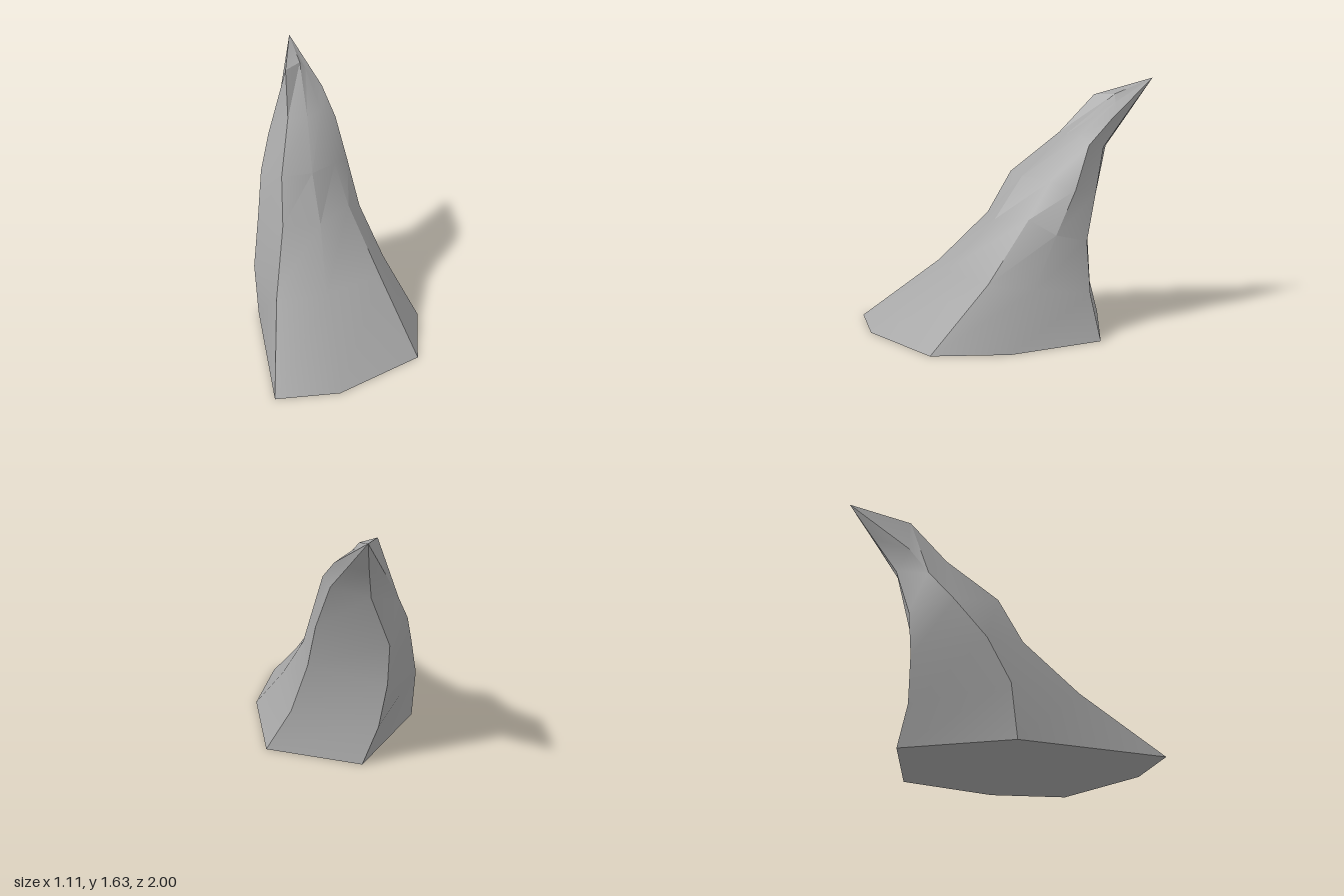
import * as THREE from 'three';
import { toCreasedNormals } from 'three/addons/utils/BufferGeometryUtils.js';

// Ridge lines from base to just below the tip, counterclockwise seen from above
const RIDGES = [
  [[-0.4, 0, 1], [-0.395, 0.38, 0.47], [-0.355, 0.72, 0.13], [-0.36, 1, -0.03], [-0.32, 1.27, -0.36], [-0.335, 1.52, -0.6]],
  [[0, 0, 0.95], [-0.075, 0.39, 0.44], [-0.11, 0.72, 0.11], [-0.16, 1, -0.08], [-0.19, 1.27, -0.38], [-0.24, 1.53, -0.72]],
  [[0.51, 0, 0.59], [0.28, 0.38, 0.2], [0.08, 0.75, -0.09], [-0.01, 0.99, -0.25], [-0.1, 1.28, -0.47], [-0.2, 1.48, -0.72]],
  [[0.55, 0, 0.09], [0.32, 0.35, -0.1], [0.16, 0.66, -0.26], [0.08, 0.94, -0.4], [0, 1.22, -0.5], [-0.09, 1.38, -0.67]],
  [[0.37, 0, -0.52], [0.21, 0.27, -0.48], [0.1, 0.6, -0.475], [0.04, 0.9, -0.54], [-0.06, 1.2, -0.61], [-0.18, 1.4, -0.79]],
  [[-0.265, 0, -0.63], [-0.36, 0.25, -0.58], [-0.41, 0.55, -0.58], [-0.42, 0.83, -0.6], [-0.31, 1.17, -0.68], [-0.31, 1.4, -0.84]],
  [[-0.54, 0, 0.05], [-0.56, 0.35, 0.01], [-0.53, 0.65, -0.13], [-0.51, 0.9, -0.33], [-0.46, 1.1, -0.49], [-0.385, 1.3, -0.61]],
];
const TIP = [-0.315, 1.63, -1];

export function createModel() {
  const group = new THREE.Group();
  group.name = 'rockSpike';
  const stone = new THREE.MeshStandardMaterial({ color: 0xa6a6a6 });
  stone.name = 'grey stone';

  const positions = [];
  const tri = (a, b, c) => positions.push(...a, ...b, ...c);
  const n = RIDGES.length;
  const top = RIDGES[0].length - 1;

  for (let i = 0; i < n; i++) {
    const a = RIDGES[i];
    const b = RIDGES[(i + 1) % n];
    // Wall between two neighbouring ridges
    for (let j = 0; j < top; j++) {
      tri(a[j], b[j], b[j + 1]);
      tri(a[j], b[j + 1], a[j + 1]);
    }
    // Pointed tip
    tri(a[top], b[top], TIP);
    // Flat underside
    if (i > 0 && i < n - 1) tri(RIDGES[0][0], b[0], a[0]);
  }

  const geometry = new THREE.BufferGeometry();
  geometry.setAttribute('position', new THREE.Float32BufferAttribute(positions, 3));
  const spike = new THREE.Mesh(toCreasedNormals(geometry, 0.55), stone);
  spike.name = 'spike';
  group.add(spike);
  return group;
}
